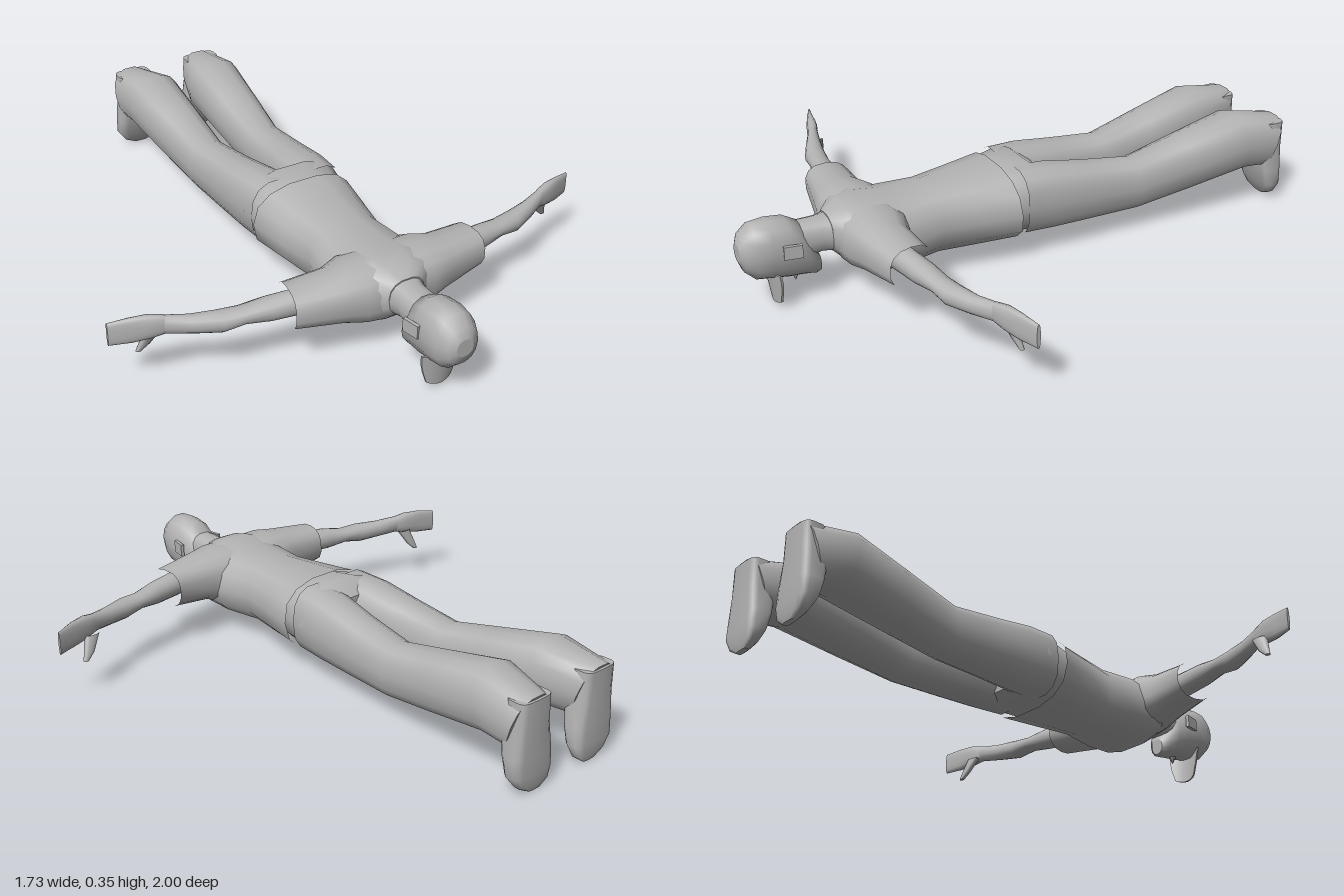
import * as THREE from 'three';

const SIDES = 14;
const AXES = { x: [0, 1, 2], y: [1, 2, 0], z: [2, 0, 1] };

// Skin along an axis. Each ring is [t, a0, a1, b0, b1, tilt]: its position on the
// axis, its limits on the next two axes in cyclic order, and its slant along b.
function loft(axis, rings, { square = 0.8, start = false, end = false } = {}) {
  const [T, A, B] = AXES[axis], pos = [], index = [];
  const soft = v => Math.sign(v) * Math.pow(Math.abs(v), square);
  const addRing = ([t, a0, a1, b0, b1, tilt = 0]) => {
    for (let i = 0; i < SIDES; i++) {
      const q = (i / SIDES) * Math.PI * 2, c = soft(Math.cos(q)), s = soft(Math.sin(q)), p = [];
      p[T] = t + tilt * s;
      p[A] = (a0 + a1) / 2 + ((a1 - a0) / 2) * c;
      p[B] = (b0 + b1) / 2 + ((b1 - b0) / 2) * s;
      pos.push(...p);
    }
  };
  rings.forEach(addRing);
  for (let r = 0; r < rings.length - 1; r++)
    for (let i = 0; i < SIDES; i++) {
      const a = r * SIDES + i, b = r * SIDES + ((i + 1) % SIDES);
      index.push(a, b, b + SIDES, a, b + SIDES, a + SIDES);
    }
  // Caps have their own corners so that their edges stay sharp
  const cap = (ring, flip) => {
    const base = pos.length / 3;
    addRing(ring);
    for (let i = 1; i < SIDES - 1; i++)
      index.push(base, base + (flip ? i + 1 : i), base + (flip ? i : i + 1));
  };
  if (start) cap(rings[0], true);
  if (end) cap(rings[rings.length - 1], false);
  const g = new THREE.BufferGeometry();
  g.setAttribute('position', new THREE.Float32BufferAttribute(pos, 3));
  g.setIndex(index);
  g.computeVertexNormals();
  return g;
}

export function createModel() {
  const model = new THREE.Group();
  model.name = 'lyingFigure';
  const grey = new THREE.MeshStandardMaterial({ color: 0xb4b4b4 });
  grey.name = 'plain grey';
  const add = (parent, name, geometry) => {
    const m = new THREE.Mesh(geometry, grey);
    m.name = name;
    parent.add(m);
    return m;
  };

  // Shirt body, open at the hem
  add(model, 'shirt', loft('z', [
    [0.08, -0.19, 0.19, 0.07, 0.326, 0.01],
    [0.22, -0.165, 0.165, 0.073, 0.316],
    [0.35, -0.14, 0.14, 0.075, 0.308],
    [0.49, -0.17, 0.17, 0.07, 0.305],
    [0.59, -0.18, 0.18, 0.075, 0.32],
    [0.65, -0.14, 0.14, 0.115, 0.308],
    [0.70, -0.065, 0.065, 0.165, 0.285]], { end: true }));

  // Hips
  add(model, 'hips', loft('z', [
    [-0.06, -0.15, 0.15, 0.11, 0.29],
    [0, -0.185, 0.185, 0.085, 0.335],
    [0.12, -0.165, 0.165, 0.085, 0.315]], { start: true, end: true }));

  // Neck and head, face down
  add(model, 'neck', loft('z', [
    [0.66, -0.075, 0.075, 0.155, 0.285],
    [0.73, -0.055, 0.055, 0.165, 0.278],
    [0.82, -0.055, 0.055, 0.15, 0.28]]));
  add(model, 'head', loft('z', [
    [0.732, -0.025, 0.025, 0.09, 0.15],
    [0.755, -0.052, 0.052, 0.088, 0.2],
    [0.795, -0.066, 0.066, 0.095, 0.283],
    [0.84, -0.074, 0.074, 0.1, 0.31],
    [0.90, -0.078, 0.078, 0.112, 0.318],
    [0.95, -0.072, 0.072, 0.12, 0.314],
    [0.985, -0.055, 0.055, 0.155, 0.285],
    [0.998, -0.03, 0.03, 0.19, 0.25]], { square: 0.9, start: true, end: true }));
  const nose = add(model, 'nose', new THREE.ConeGeometry(0.02, 0.04, 5));
  nose.position.set(0, 0.092, 0.815);
  nose.rotation.x = Math.PI;

  // Cap brim, narrowed at the tip and bent across
  const brim = new THREE.BoxGeometry(0.14, 0.12, 0.007, 8, 3, 1);
  const p = brim.attributes.position;
  for (let i = 0; i < p.count; i++) {
    const k = (0.06 - p.getY(i)) / 0.12;
    const x = p.getX(i) * (1 - 0.35 * k * k);
    p.setXYZ(i, x, 0.08 + p.getY(i) + 6 * x * x * k, 0.908 - 0.017 * k - 4.5 * x * x + p.getZ(i));
  }
  brim.computeVertexNormals();
  add(model, 'capBrim', brim);

  for (const side of [1, -1]) {
    const half = new THREE.Group();
    half.name = side > 0 ? 'leftLimbs' : 'rightLimbs';
    half.scale.x = side;
    model.add(half);

    const ear = add(half, 'ear', new THREE.BoxGeometry(0.012, 0.045, 0.06));
    ear.position.set(0.081, 0.222, 0.842);
    ear.rotation.y = -0.2;

    // Sleeve, open at the cuff
    add(half, 'sleeve', loft('x', [
      [0.04, 0.1, 0.31, 0.46, 0.69],
      [0.12, 0.115, 0.312, 0.46, 0.688],
      [0.19, 0.135, 0.3, 0.488, 0.67],
      [0.34, 0.155, 0.288, 0.485, 0.635, 0.01]]));

    // Bare arm and flat hand
    add(half, 'arm', loft('x', [
      [0.28, 0.185, 0.27, 0.525, 0.61],
      [0.40, 0.185, 0.262, 0.505, 0.587],
      [0.48, 0.195, 0.248, 0.495, 0.567],
      [0.55, 0.183, 0.252, 0.482, 0.558],
      [0.63, 0.19, 0.252, 0.465, 0.523],
      [0.71, 0.198, 0.262, 0.445, 0.482]], { square: 0.95 }));
    add(half, 'hand', loft('x', [
      [0.70, 0.198, 0.26, 0.447, 0.484],
      [0.745, 0.188, 0.27, 0.432, 0.474],
      [0.80, 0.18, 0.27, 0.424, 0.452],
      [0.865, 0.178, 0.26, 0.41, 0.422]], { end: true }));
    add(half, 'thumb', loft('y', [
      [0.125, 0.41, 0.425, 0.762, 0.78],
      [0.15, 0.412, 0.436, 0.735, 0.772],
      [0.205, 0.425, 0.458, 0.70, 0.755]], { start: true }));

    // Trouser leg
    add(half, 'trouserLeg', loft('z', [
      [-0.96, 0.07, 0.225, 0.14, 0.325, -0.032],
      [-0.82, 0.026, 0.236, 0.15, 0.36, 0.015],
      [-0.6, 0.032, 0.214, 0.115, 0.315],
      [-0.395, 0.04, 0.19, 0.085, 0.27],
      [-0.2, 0.02, 0.188, 0.086, 0.297],
      [-0.06, 0.0, 0.187, 0.087, 0.32],
      [0.05, -0.01, 0.18, 0.09, 0.325]], { start: true }));

    // Shoe with its flat sole facing back and the toe down
    add(half, 'shoe', loft('y', [
      [0.008, -0.988, -0.968, 0.10, 0.155],
      [0.03, -0.994, -0.952, 0.07, 0.195],
      [0.07, -0.998, -0.932, 0.058, 0.222],
      [0.13, -0.998, -0.915, 0.06, 0.222],
      [0.22, -0.998, -0.9, 0.075, 0.215],
      [0.315, -0.998, -0.92, 0.08, 0.212]], { square: 0.5, start: true, end: true }));
  }
  return model;
}
